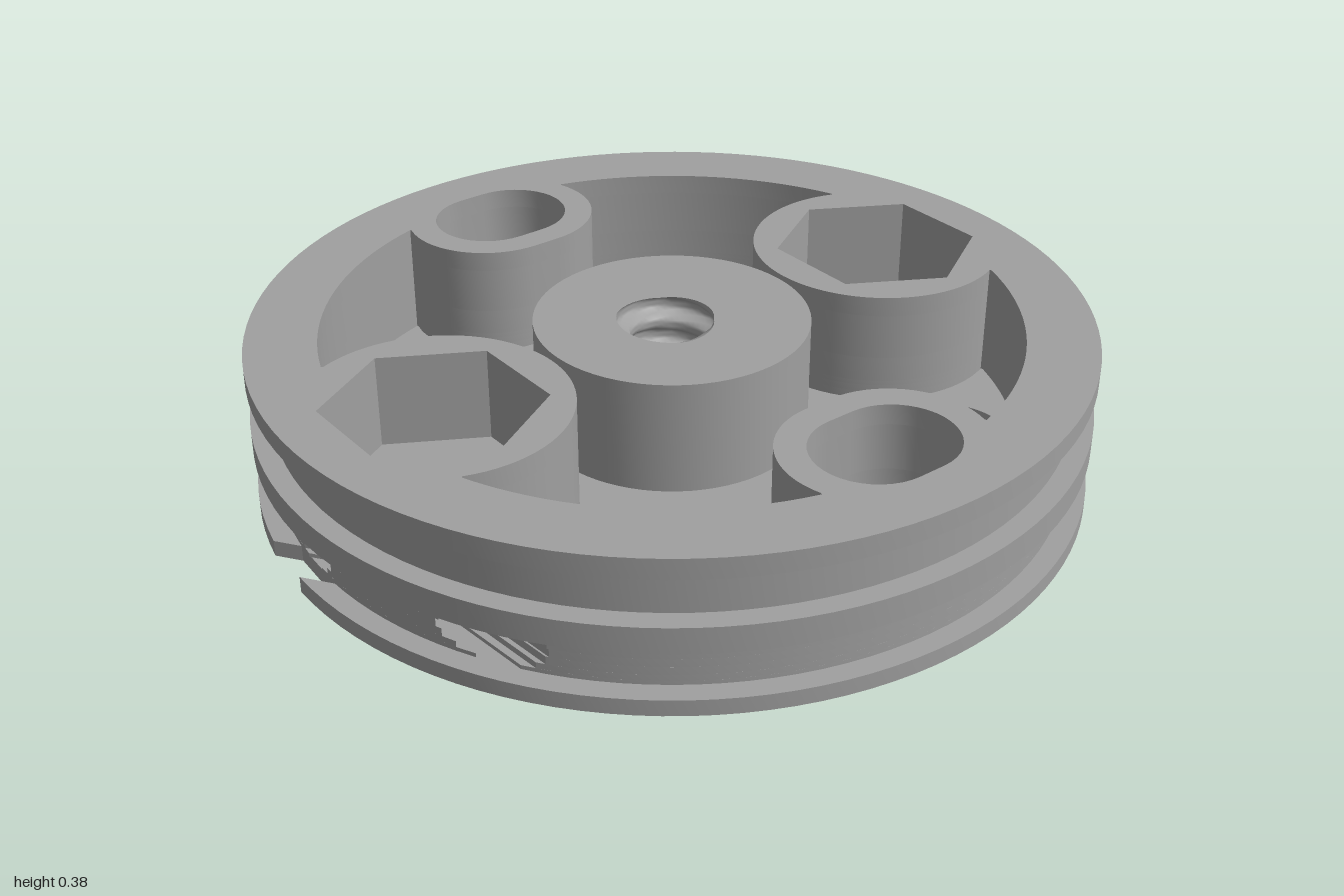
import * as THREE from 'three';
import { toCreasedNormals } from 'three/addons/utils/BufferGeometryUtils.js';

const V = (x, y) => new THREE.Vector2(x, y);
const TOP = 0.385, FLOOR = 0.105, HEX_FLOOR = 0.155, BOLT_R = 0.135;

// Plan-view points along a circular arc (plan y points to -z)
function arc(cx, cy, r, a0, a1, n) {
  const pts = [];
  for (let i = 0; i <= n; i++) {
    const a = a0 + (a1 - a0) * i / n;
    pts.push(V(cx + r * Math.cos(a), cy + r * Math.sin(a)));
  }
  return pts;
}
const circle = (x, y, r, n = 48) => arc(x, y, r, 0, Math.PI * 2, n).slice(0, -1);

// Where the line from p (inside) to q (outside) crosses radius r
function hit(p, q, r) {
  const d = q.clone().sub(p), a = d.lengthSq(), b = p.dot(d), c = p.lengthSq() - r * r;
  return p.clone().addScaledVector(d, (-b + Math.sqrt(b * b - a * c)) / a);
}

// Rim points counter-clockwise from one rim point to another
function rim(from, to, r) {
  const a0 = from.angle();
  let a1 = to.angle();
  if (a1 <= a0) a1 += Math.PI * 2;
  return arc(0, 0, r, a0, a1, Math.max(8, Math.ceil((a1 - a0) * 18)));
}

// One wall of the bent cord channel, on the hub side (+) or rim side (-)
function channelWall(offset) {
  return [
    V(-1.05 + 0.818 * offset, 0.22 + 0.575 * offset),
    V(-0.86 + 0.967 * offset, -0.05 + 0.363 * offset),
    V(-0.81 + 0.995 * offset, -0.62 + 0.105 * offset),
  ];
}

// Pocket outline: one quadrant, mirrored round
function pocketOutline() {
  const hexEnd = Math.atan2(0.295, 0.775 - 0.66);
  const q1 = [
    ...arc(0.66, 0, 0.312, Math.PI, hexEnd, 24),
    ...arc(0, 0, 0.83, Math.atan2(0.295, 0.775), Math.atan2(0.79, 0.236), 20),
    ...arc(0.035, 0.73, 0.21, 0.29, -Math.PI / 2, 18),
  ];
  const flip = (pts, sx, sy) => pts.map(p => V(p.x * sx, p.y * sy));
  const half = [...q1, ...flip(q1, -1, 1).reverse().slice(0, -1)];
  return [...half, V(-0.348, 0), ...flip(half, 1, -1).reverse().slice(0, -1)];
}

export function createModel() {
  const group = new THREE.Group();
  const grey = new THREE.MeshStandardMaterial({ color: 0xa0a0a0, side: THREE.DoubleSide });
  grey.name = 'grey';

  function add(geometry, name) {
    const mesh = new THREE.Mesh(geometry, grey);
    mesh.name = name;
    group.add(mesh);
  }
  function slab(name, outline, holes, y0, y1) {
    const shape = new THREE.Shape(outline);
    shape.holes = holes.map(h => new THREE.Path(h));
    const g = new THREE.ExtrudeGeometry(shape, { depth: y1 - y0, bevelEnabled: false });
    g.rotateX(-Math.PI / 2);
    g.translate(0, y0, 0);
    add(toCreasedNormals(g, 0.5), name);
  }

  // Openings in plan
  const slots = [1, -1].map(s => [
    ...arc(0.035, 0.73 * s, 0.14, -Math.PI / 2, Math.PI / 2, 20),
    ...arc(-0.035, 0.73 * s, 0.14, Math.PI / 2, Math.PI * 1.5, 20),
  ]);
  const rounds = [[1, 1], [1, -1], [-1, 1], [-1, -1]].map(([x, y]) => circle(0.47 * x, 0.47 * y, 0.15));
  const sideBolts = [0.66, -0.66].map(x => circle(x, 0, BOLT_R));
  const hexes = [0.66, -0.66].map(x => arc(x, 0, 0.255, Math.PI / 6, Math.PI * 13 / 6, 6).slice(0, -1));
  const pocket = pocketOutline();
  const floorHoles = [...slots, ...rounds, ...sideBolts, circle(0, 0, BOLT_R)];

  // Bottom flange with the cord notch
  const inner = channelWall(0.055), outer = channelWall(-0.055);
  const notchIn = hit(inner[1], inner[0], 1), notchOut = hit(outer[1], outer[0], 1);
  slab('bottomFlange', [
    ...rim(notchOut, notchIn, 1),
    hit(inner[1], inner[0], 0.95), hit(outer[1], outer[0], 0.95),
  ], floorHoles, 0, 0.04);

  // Lower groove: thin slices give the cord channel its round section
  const levels = [0.04, 0.05, 0.065, 0.085, FLOOR, 0.125, 0.143, HEX_FLOOR];
  for (let i = 0; i < levels.length - 1; i++) {
    const y0 = levels[i], y1 = levels[i + 1];
    const t = ((y0 + y1) / 2 - 0.0975) / 0.0575;
    const w = 0.053 * Math.sqrt(1 - t * t);
    const [ia, ib, ic] = channelWall(w), [oa, ob, oc] = channelWall(-w);
    const holes = y0 < FLOOR ? floorHoles : [pocket, ...slots, ...sideBolts];
    slab('lowerGroove', [...rim(hit(ib, ic, 0.95), hit(ib, ia, 0.95), 0.95), ib], holes, y0, y1);
    slab('channelCover', [...rim(hit(ob, oa, 0.95), hit(ob, oc, 0.95), 0.95), ob], [], y0, y1);
  }

  // Upper rim bands with pocket, slots and hex sockets
  const upperHoles = [pocket, ...slots, ...hexes];
  for (const [name, r, y0, y1] of [
    ['middleFlange', 1, HEX_FLOOR, 0.22],
    ['upperGroove', 0.95, 0.22, 0.335],
    ['topFlange', 1, 0.335, TOP],
  ]) slab(name, circle(0, 0, r, 112), upperHoles, y0, y1);

  // Central hub
  slab('hub', circle(0, 0, 0.33, 72), [circle(0, 0, BOLT_R)], FLOOR, TOP);

  // Threaded bores: radius follows a helix
  const threadRadius = (y, a) => {
    const wave = 0.5 + 0.9 * Math.cos(2 * Math.PI * y / 0.085 - a);
    return 0.1 + 0.032 * Math.min(1, Math.max(0, wave));
  };
  function threadedBore(x, height) {
    const g = new THREE.CylinderGeometry(1, 1, height, 48, Math.round(height / 0.008), true);
    g.translate(0, height / 2, 0);
    const p = g.attributes.position;
    for (let i = 0; i < p.count; i++) {
      const a = Math.atan2(-p.getZ(i), p.getX(i)), r = threadRadius(p.getY(i), a);
      p.setXYZ(i, r * Math.cos(a), p.getY(i), -r * Math.sin(a));
    }
    g.computeVertexNormals();
    g.translate(x, 0, 0);
    add(g, 'boreThread');
    for (const y of [0, height]) {
      const ring = new THREE.Shape(circle(0, 0, BOLT_R));
      ring.holes.push(new THREE.Path(circle(0, 0, 1).map(v => v.multiplyScalar(threadRadius(y, v.angle())))));
      const cap = new THREE.ShapeGeometry(ring);
      cap.rotateX(y ? -Math.PI / 2 : Math.PI / 2);
      if (!y) cap.scale(1, 1, 1);
      cap.translate(x, y, 0);
      add(cap, 'boreMouth');
    }
  }
  threadedBore(0, TOP);
  for (const x of [0.66, -0.66]) threadedBore(x, HEX_FLOOR);

  return group;
}
